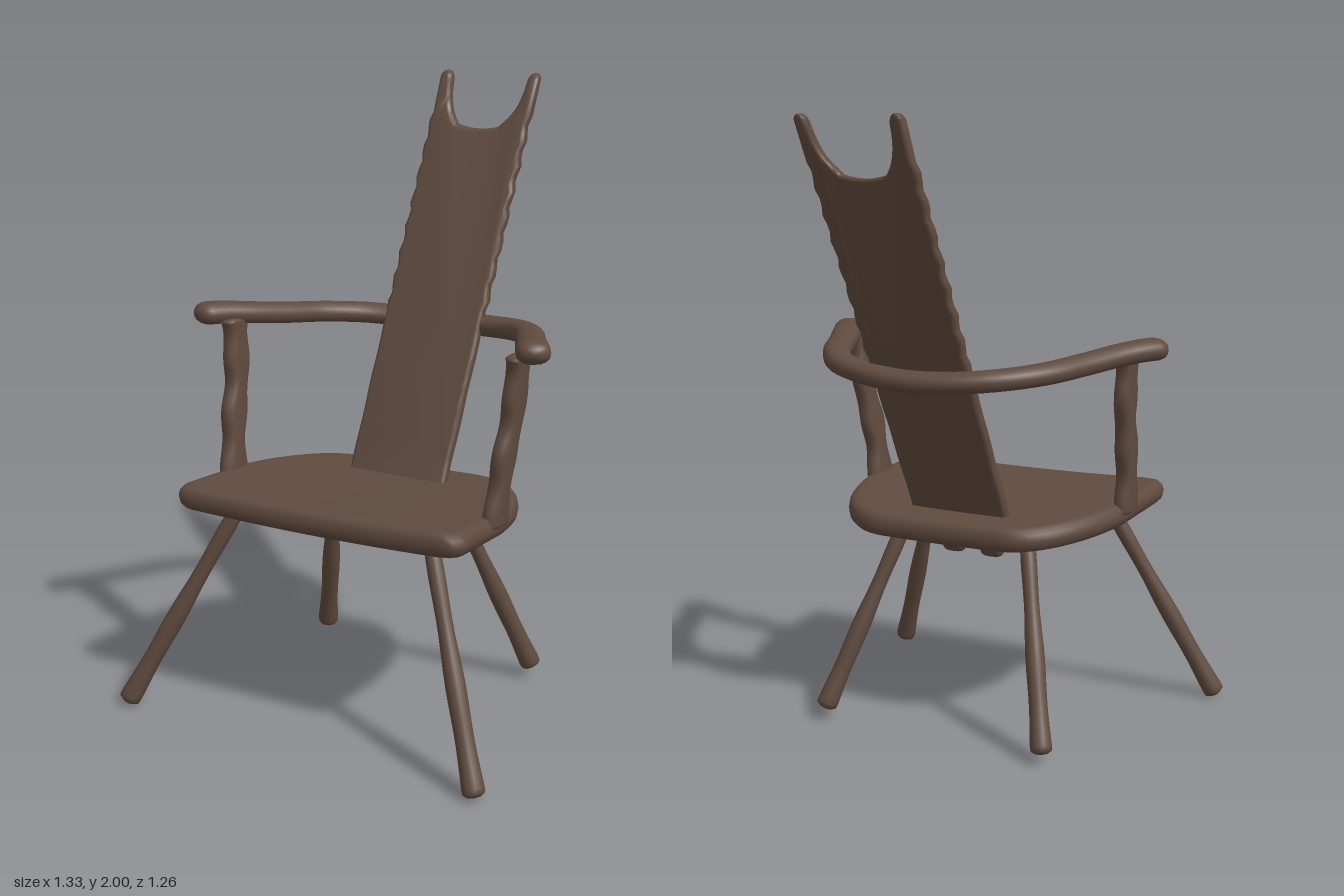
import * as THREE from 'three';
import { toCreasedNormals, mergeVertices } from 'three/addons/utils/BufferGeometryUtils.js';

const V = (x, y, z) => new THREE.Vector3(x, y, z);

// Skin a list of equal-length closed rings, facing outwards.
function loft(rings) {
  const n = rings[0].length, pos = [], idx = [];
  rings.forEach(r => r.forEach(p => pos.push(p.x, p.y, p.z)));
  let volume = 0;
  const tri = (a, b, c) => {
    idx.push(a, b, c);
    const [A, B, C] = [a, b, c].map(i => V().fromArray(pos, i * 3));
    volume += A.dot(B.cross(C));
  };
  for (let i = 0; i < rings.length - 1; i++) {
    for (let j = 0; j < n; j++) {
      const a = i * n + j, b = i * n + (j + 1) % n;
      tri(a, b, b + n);
      tri(a, b + n, a + n);
    }
  }
  if (volume < 0) idx.reverse();
  const g = new THREE.BufferGeometry();
  g.setAttribute('position', new THREE.Float32BufferAttribute(pos, 3));
  g.setIndex(idx);
  const m = mergeVertices(g, 1e-5);
  m.computeVertexNormals();
  return m;
}

// Sweep a rounded section with soft ends along a curve; size(u) gives [half width, half height].
function limb(points, size, { up = V(0, 1, 0), steps = 32, sides = 16, power = 1, soft = 0.03 } = {}) {
  const curve = new THREE.CatmullRomCurve3(points), length = curve.getLength(), rings = [];
  const bend = v => Math.sign(v) * Math.abs(v) ** power;
  for (let i = 0; i <= steps; i++) {
    const u = (1 - Math.cos(Math.PI * i / steps)) / 2;
    const c = curve.getPointAt(u), t = curve.getTangentAt(u);
    const side = up.clone().cross(t).normalize(), n = t.clone().cross(side);
    const d = Math.min(1, Math.min(u, 1 - u) * length / soft);
    const round = Math.sqrt(Math.max(0, 1 - (1 - d) ** 2));
    const [w, h] = size(u);
    rings.push(Array.from({ length: sides }, (_, j) => {
      const a = j / sides * Math.PI * 2;
      return c.clone().addScaledVector(side, bend(Math.cos(a)) * w * round)
        .addScaledVector(n, bend(Math.sin(a)) * h * round);
    }));
  }
  return loft(rings);
}

// Seat: rounded D-shaped slab, tilted back and slightly dished.
function seatGeometry() {
  const s = new THREE.Shape();
  s.moveTo(-0.41, 0.55);
  s.lineTo(0.5, 0.525);
  s.quadraticCurveTo(0.54, 0.52, 0.54, 0.47);
  s.lineTo(0.54, 0.22);
  s.bezierCurveTo(0.53, 0.06, 0.43, -0.19, 0.25, -0.19);
  s.lineTo(-0.19, -0.18);
  s.bezierCurveTo(-0.35, -0.18, -0.44, 0.06, -0.455, 0.22);
  s.lineTo(-0.46, 0.5);
  s.quadraticCurveTo(-0.455, 0.55, -0.41, 0.55);
  const outline = s.getSpacedPoints(120).slice(0, -1);
  const rows = [[0, 0.037], [0.4, 0.037], [0.75, 0.038], [0.93, 0.04], [0.97, 0.034], [0.992, 0.02],
    [1, 0], [0.992, -0.02], [0.965, -0.034], [0.9, -0.043], [0.7, -0.046], [0.4, -0.047], [0, -0.047]];
  return loft(rows.map(([k, h]) => outline.map(p => {
    const x = 0.04 + (p.x - 0.04) * k, z = 0.18 + (p.y - 0.18) * k;
    return V(x, 0.684 + 0.065 * z + 0.045 * (x - 0.04) ** 2 + h, z);
  })));
}

// Backrest: leaning plank with two horns and nibbled edges.
const lean = y => -0.03 - 0.455 * (y - 0.72);
function backGeometry() {
  const b = 0.012, s = new THREE.Shape(), left = [], right = [];
  for (let i = 0; i <= 44; i++) {
    const y = 0.69 + i * 0.0265, k = (y - 0.69) / 1.3;
    const wave = y > 1.22 ? 0.005 * Math.sin(y * 75) : 0.001 * Math.sin(y * 30);
    left.push(new THREE.Vector2(-0.147 + 0.028 * k + b + wave, y));
    right.push(new THREE.Vector2(0.207 + 0.038 * k - b + wave, y));
  }
  s.moveTo(left[0].x, left[0].y);
  right.forEach(p => s.lineTo(p.x, p.y));
  s.lineTo(0.236, 1.975);
  s.quadraticCurveTo(0.228, 1.992, 0.221, 1.97);
  s.bezierCurveTo(0.21, 1.85, 0.165, 1.84, 0.145, 1.81);
  s.quadraticCurveTo(0.06, 1.785, -0.025, 1.81);
  s.bezierCurveTo(-0.05, 1.83, -0.083, 1.88, -0.087, 1.965);
  s.quadraticCurveTo(-0.098, 1.995, -0.107, 1.975);
  left.reverse().forEach(p => s.lineTo(p.x, p.y));
  const g = new THREE.ExtrudeGeometry(s, {
    depth: 0.016, bevelThickness: b, bevelSize: b, bevelSegments: 3, curveSegments: 10,
  });
  const p = g.attributes.position;
  for (let i = 0; i < p.count; i++) p.setZ(i, p.getZ(i) - 0.008 + lean(p.getY(i)));
  return toCreasedNormals(g, 0.7);
}

export function createModel() {
  const model = new THREE.Group();
  const wood = new THREE.MeshStandardMaterial({ color: 0x604b3f });
  wood.name = 'dark brown wood';
  const add = (name, geometry) => {
    const mesh = new THREE.Mesh(geometry, wood);
    mesh.name = name;
    model.add(mesh);
  };

  add('seat', seatGeometry());
  add('backrest', backGeometry());

  // Two tenons of the backrest poking out below the seat
  [-0.06, 0.083].forEach((x, i) => add(`tenon${i + 1}`, limb(
    [V(x, 0.68, lean(0.68)), V(x, 0.57, lean(0.57))],
    () => [0.042, 0.032], { up: V(0, 0, 1), power: 0.6, steps: 12, soft: 0.015 })));

  // One bent rail forms both arms and passes behind the backrest
  add('armRail', limb([
    V(-0.545, 1.257, 0.285), V(-0.5, 1.255, 0.21), V(-0.45, 1.245, 0.13), V(-0.39, 1.228, 0.01),
    V(-0.32, 1.212, -0.135), V(-0.22, 1.2, -0.24), V(-0.1, 1.19, -0.293), V(0.05, 1.185, -0.313),
    V(0.21, 1.192, -0.288), V(0.36, 1.207, -0.22), V(0.455, 1.222, -0.11), V(0.525, 1.235, 0.03),
    V(0.575, 1.248, 0.13), V(0.635, 1.258, 0.25),
  ], u => {
    const knob = Math.abs(u - 0.5) * 2;
    return [0.054 - 0.008 * Math.sin(knob * Math.PI), 0.034 + 0.003 * knob ** 4];
  }, { steps: 64, power: 0.85, soft: 0.045 }));

  // Arm posts with a wavy front edge
  [['rightPost', -0.435, -0.458], ['leftPost', 0.518, 0.562]].forEach(([name, x0, x1]) => {
    const at = (k, y, z) => V(x0 + (x1 - x0) * k, y, z);
    add(name, limb([at(0, 0.71, 0.25), at(0.2, 0.82, 0.24), at(0.4, 0.93, 0.225),
      at(0.65, 1.05, 0.198), at(1, 1.24, 0.19)],
    u => [0.029, 0.047 + 0.007 * Math.sin(u * 19) + 0.015 * (2 * u - 1) ** 6],
    { up: V(0, 0, 1), power: 0.7, steps: 36, soft: 0.01 }));
  });

  // Splayed legs, thicker towards the foot
  [
    ['frontRightLeg', V(-0.30, 0.69, 0.405), V(-0.635, 0.005, 0.6)],
    ['frontLeftLeg', V(0.385, 0.69, 0.405), V(0.64, 0.005, 0.6)],
    ['backRightLeg', V(-0.215, 0.67, -0.03), V(-0.38, 0.028, -0.24)],
    ['backLeftLeg', V(0.235, 0.67, -0.03), V(0.43, 0.035, -0.25)],
  ].forEach(([name, top, foot]) => add(name, limb([top, foot], u => {
    const r = 0.023 + 0.011 * u + 0.002 * Math.sin(u * 14);
    return [r, r];
  }, { up: V(0, 0, 1), steps: 24, soft: 0.018 })));

  return model;
}
